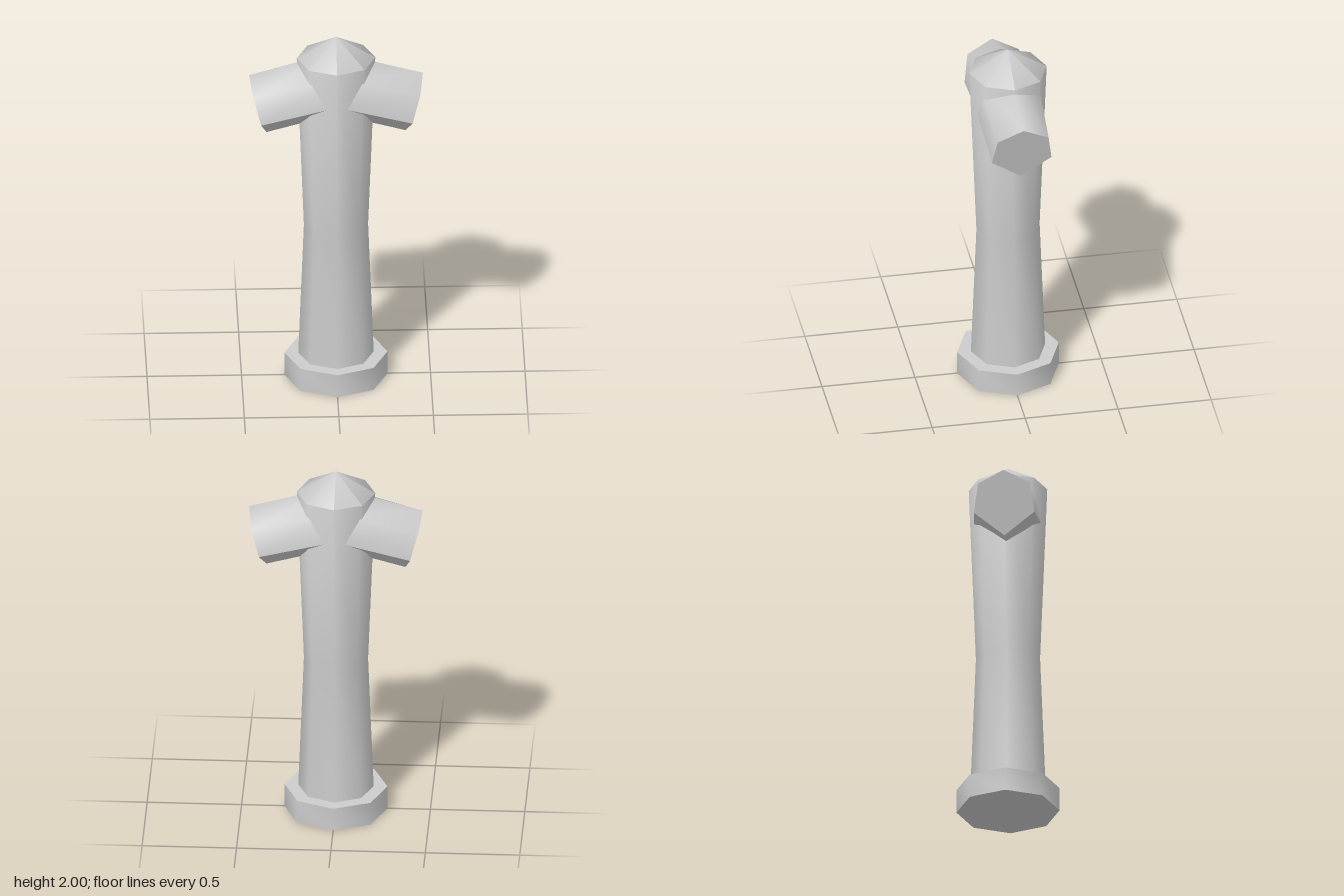
import * as THREE from 'three';
import { toCreasedNormals } from 'three/addons/utils/BufferGeometryUtils.js';

const CREASE = 1.03;
const vectors = (list) => list.map(([x, y]) => new THREE.Vector2(x, y));

export function createModel() {
  const group = new THREE.Group();
  const material = new THREE.MeshStandardMaterial({ color: 0xcccccc });

  const add = (name, geometry) => {
    const mesh = new THREE.Mesh(toCreasedNormals(geometry, CREASE), material);
    mesh.name = name;
    group.add(mesh);
    return mesh;
  };

  // Eight-sided base flange
  add('baseFlange', new THREE.LatheGeometry(
    vectors([[0, 0], [0.273, 0], [0.273, 0.13], [0, 0.13]]), 8));

  // Waisted eight-sided column with its pointed cap
  add('column', new THREE.LatheGeometry(
    vectors([[0, 0.12], [0.2, 0.12], [0.17, 0.89], [0.208, 1.875], [0, 2]]), 8));

  // Six-sided side nozzles, widening slightly toward the column
  const section = new THREE.Shape(vectors([
    [0, 0.176], [-0.137, 0.104], [-0.16, -0.052],
    [0, -0.176], [0.16, -0.052], [0.137, 0.104],
  ]));
  const length = 0.43;
  for (const side of [1, -1]) {
    const nozzle = new THREE.ExtrudeGeometry(section, { depth: length, bevelEnabled: false });
    nozzle.translate(0, 0, -length);
    const p = nozzle.attributes.position;
    for (let i = 0; i < p.count; i++) {
      p.setX(i, p.getX(i) * (1 - 0.12 * p.getZ(i) / length));
    }
    nozzle.rotateX(THREE.MathUtils.degToRad(15.2)); // droop outward
    nozzle.translate(0, 1.61, 0.414);
    nozzle.rotateY(side * Math.PI / 2);
    add(side > 0 ? 'leftNozzle' : 'rightNozzle', nozzle);
  }

  return group;
}
